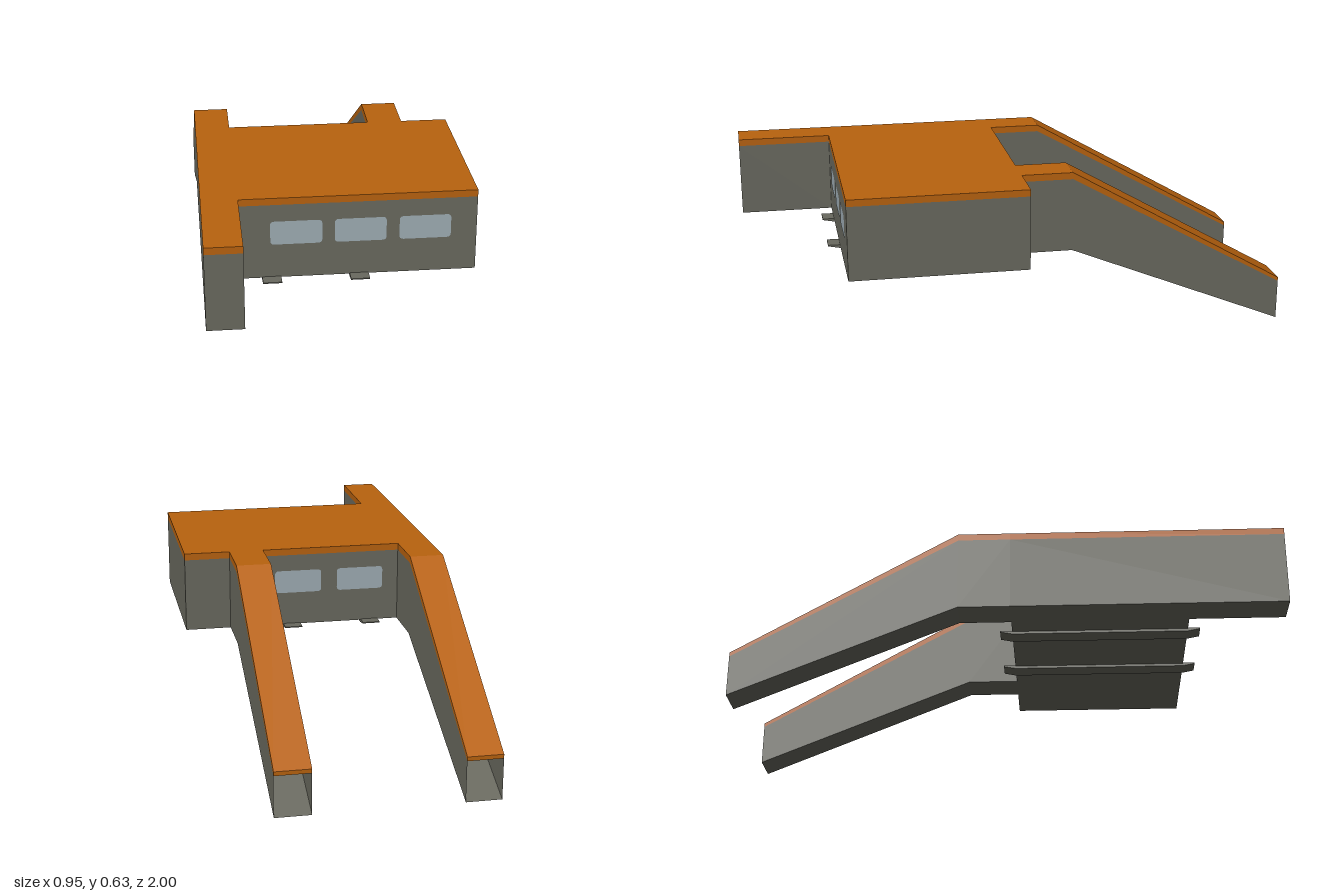
import * as THREE from 'three';

const body = new THREE.MeshStandardMaterial({ color: 0x69695f });
body.name = 'wall grey';
const tubeGrey = body.clone();
tubeGrey.name = 'wall grey open';
tubeGrey.side = THREE.DoubleSide;
const orange = new THREE.MeshStandardMaterial({ color: 0xb8620e });
orange.name = 'roof orange';
const glass = new THREE.MeshStandardMaterial({ color: 0x9fadb4 });
glass.name = 'window glass';

const LOW = 0.33, EAVE = 0.605, TOP = 0.63;
const RAMPS = [[-0.475, -0.348], [0.177, 0.305]];

// Extrudes a [x, z] outline upwards between two heights
function slab(outline, y0, y1) {
  const shape = new THREE.Shape(outline.map(([x, z]) => new THREE.Vector2(x, -z)));
  return new THREE.ExtrudeGeometry(shape, { depth: y1 - y0, bevelEnabled: false })
    .rotateX(-Math.PI / 2).translate(0, y0, 0);
}

// Extrudes a [z, y] side profile across the span x0..x1
function sideProfile(profile, x0, x1) {
  const shape = new THREE.Shape(profile.map(([z, y]) => new THREE.Vector2(-z, y)));
  return new THREE.ExtrudeGeometry(shape, { depth: x1 - x0, bevelEnabled: false })
    .rotateY(Math.PI / 2).translate(x0, 0, 0);
}

// Hollow corridor with a floor and two walls, open at its far end
function corridor(x0, x1) {
  const sections = [[0, LOW, EAVE], [-0.19, LOW, EAVE], [-1, 0, 0.15]]; // z, floor, eave
  const rings = sections.map(([z, lo, hi]) =>
    [[x0, hi, z], [x0, lo, z], [x1, lo, z], [x1, hi, z]]);
  const pos = [];
  for (let s = 0; s < 2; s++) {
    for (let k = 0; k < 3; k++) {
      const a = rings[s][k], b = rings[s][k + 1], c = rings[s + 1][k + 1], d = rings[s + 1][k];
      pos.push(...a, ...d, ...c, ...a, ...c, ...b);
    }
  }
  const g = new THREE.BufferGeometry();
  g.setAttribute('position', new THREE.Float32BufferAttribute(pos, 3));
  g.computeVertexNormals();
  return g;
}

// Window pane with rounded corners, centred on the origin
function pane(w, h, r) {
  const s = new THREE.Shape(), x = w / 2, y = h / 2;
  s.moveTo(-x + r, -y);
  s.lineTo(x - r, -y);
  s.quadraticCurveTo(x, -y, x, -y + r);
  s.lineTo(x, y - r);
  s.quadraticCurveTo(x, y, x - r, y);
  s.lineTo(-x + r, y);
  s.quadraticCurveTo(-x, y, -x, y - r);
  s.lineTo(-x, -y + r);
  s.quadraticCurveTo(-x, -y, -x + r, -y);
  return new THREE.ShapeGeometry(s, 4);
}

export function createModel() {
  const group = new THREE.Group();
  const add = (name, geometry, material) => {
    const mesh = new THREE.Mesh(geometry, material);
    mesh.name = name;
    group.add(mesh);
    return mesh;
  };

  // Main hall with the front wing, and its roof
  const plan = [[-0.475, 0], [-0.475, 1], [-0.348, 1], [-0.348, 0.65], [0.475, 0.65], [0.475, 0]];
  add('hallWalls', slab(plan, LOW, EAVE), body);
  add('hallRoof', slab(plan, EAVE, TOP), orange);

  // Two corridors sloping down to the back, each with a roof strip
  for (const [x0, x1] of RAMPS) {
    add('rampCorridor', corridor(x0, x1), tubeGrey);
    add('rampRoof', sideProfile(
      [[0, EAVE], [-0.19, EAVE], [-1, 0.15], [-1, 0.165], [-0.19, TOP], [0, TOP]], x0, x1), orange);
  }

  // Thin rails under the hall, turned up at both ends
  const rail = [[0.695, 0.333], [0.695, 0.329], [0.65, 0.32], [0, 0.32], [-0.045, 0.329], [-0.045, 0.333]];
  for (const x of [-0.27, 0.034]) add('underRail', sideProfile(rail, x, x + 0.066), body);

  // Windows on the front and back walls
  const paneShape = pane(0.179, 0.087, 0.014);
  for (const x of [-0.151, 0.071, 0.295]) {
    add('frontWindow', paneShape, glass).position.set(x, 0.5, 0.652);
  }
  for (const x of [0.042, -0.198]) {
    const w = add('backWindow', paneShape, glass);
    w.position.set(x, 0.5, -0.002);
    w.rotation.y = Math.PI;
  }
  return group;
}
